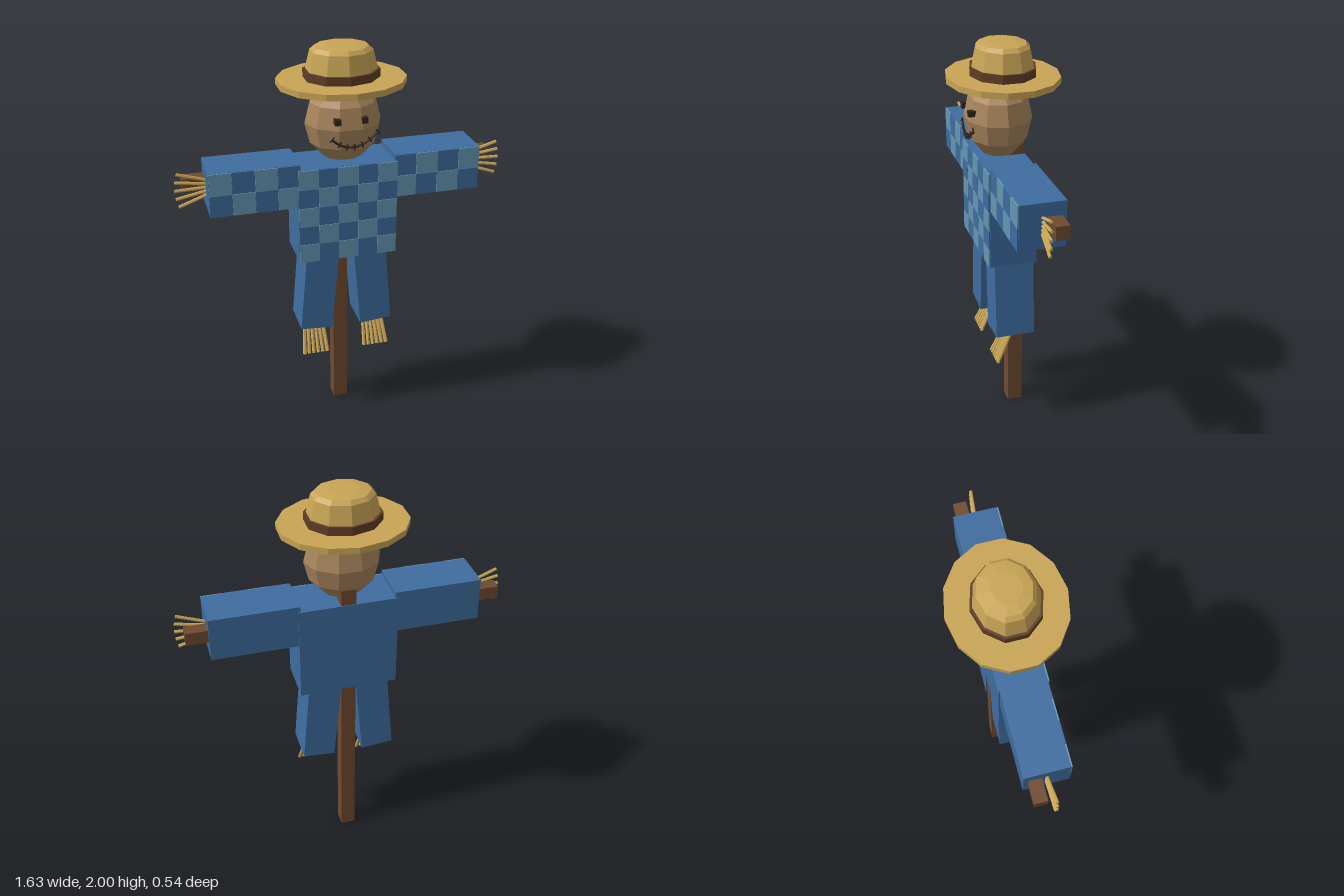
import * as THREE from 'three';

const mat = (color, flat = true) => new THREE.MeshStandardMaterial({ color, flatShading: flat });

export function createModel() {
  const model = new THREE.Group();
  const blue = mat(0x3e6c9f), lightBlue = mat(0x6496b2), wood = mat(0x6f4a30);
  const straw = mat(0xc8a455), sack = mat(0xa8855c), dark = mat(0x33251c), bandBrown = mat(0x5f3d25);

  function add(parent, name, geometry, material) {
    const mesh = new THREE.Mesh(geometry, material);
    mesh.name = name;
    parent.add(mesh);
    return mesh;
  }
  // Box given by its lower and upper corners
  function box(parent, name, material, a, b) {
    const mesh = add(parent, name, new THREE.BoxGeometry(b[0] - a[0], b[1] - a[1], b[2] - a[2]), material);
    mesh.position.set((a[0] + b[0]) / 2, (a[1] + b[1]) / 2, (a[2] + b[2]) / 2);
    return mesh;
  }
  // Thin rod between two points
  function rod(parent, name, material, a, b, radius) {
    const p = new THREE.Vector3(...a), q = new THREE.Vector3(...b);
    const mesh = add(parent, name, new THREE.CylinderGeometry(radius, radius, p.distanceTo(q), 6), material);
    mesh.position.copy(p).lerp(q, 0.5);
    mesh.quaternion.setFromUnitVectors(new THREE.Vector3(0, 1, 0), q.sub(p).normalize());
    return mesh;
  }
  // Checkered patches on the front of the shirt
  function checks(parent, x0, y0, w, h, cols, rows, z, odd) {
    const dx = w / cols, dy = h / rows, gap = 0.001;
    for (let i = 0; i < cols; i++) for (let j = 0; j < rows; j++) {
      const light = (i + j + odd) % 2 === 0;
      box(parent, 'shirtCheck', light ? lightBlue : blue,
        [x0 + i * dx + gap, y0 + j * dy + gap, z - 0.004],
        [x0 + (i + 1) * dx - gap, y0 + (j + 1) * dy - gap, z + 0.007]);
    }
  }

  // Wooden frame
  box(model, 'post', wood, [-0.037, 0, -0.098], [0.037, 1.53, -0.02]);
  box(model, 'crossbar', wood, [-0.775, 1.34, -0.073], [0.775, 1.405, -0.008]);

  // Shirt body
  const shirt = new THREE.Group();
  shirt.name = 'shirt';
  model.add(shirt);
  box(shirt, 'torso', blue, [-0.247, 0.957, -0.102], [0.245, 1.445, 0.132]);
  checks(shirt, -0.247, 0.957, 0.492, 0.488, 5, 5, 0.132, 0);

  for (const s of [-1, 1]) {
    const side = s > 0 ? 'left' : 'right';

    // Sleeve
    const inner = s * 0.233, outer = s * 0.668;
    const x0 = Math.min(inner, outer), x1 = Math.max(inner, outer);
    box(shirt, side + 'Sleeve', blue, [x0, 1.253, -0.095], [x1, 1.472, 0.122]);
    checks(shirt, x0, 1.253, x1 - x0, 0.219, 4, 2, 0.122, s > 0 ? 0 : 1);

    // Straw hand, fanned out from inside the sleeve
    const hand = new THREE.Group();
    hand.name = side + 'StrawHand';
    model.add(hand);
    for (let i = 0; i < 5; i++) {
      const a = (i - 2) * 0.16, r = 0.265;
      rod(hand, 'straw', straw, [s * (0.55 + 0.06 * Math.cos(a)), 1.363 + 0.06 * Math.sin(a), 0.01],
        [s * (0.55 + r * Math.cos(a)), 1.363 + r * Math.sin(a), 0.024], 0.008);
    }

    // Trouser leg, splayed outwards
    const leg = add(model, side + 'Leg', new THREE.BoxGeometry(0.165, 0.46, 0.198), blue);
    leg.position.set(s * 0.138, 0.771, 0.001);
    leg.rotation.z = s * 0.085;

    // Straw foot, slanting forwards
    const foot = new THREE.Group();
    foot.name = side + 'StrawFoot';
    model.add(foot);
    for (let i = 0; i < 6; i++) {
      const t = i / 5;
      rod(foot, 'straw', straw, [s * (0.112 + 0.09 * t), 0.57, 0.005], [s * (0.1 + 0.122 * t), 0.385, 0.09], 0.01);
    }
  }

  // Sack head
  const head = add(model, 'head', new THREE.SphereGeometry(1, 10, 6), sack);
  head.scale.set(0.187, 0.2, 0.162);
  head.position.set(0, 1.64, 0.024);

  // Face
  const face = new THREE.Group();
  face.name = 'face';
  model.add(face);
  for (const x of [-0.065, 0.065]) box(face, 'eye', dark, [x - 0.014, 1.671, 0.13], [x + 0.014, 1.699, 0.186]);
  const smile = new THREE.QuadraticBezierCurve3(
    new THREE.Vector3(-0.093, 1.603, 0.176), new THREE.Vector3(0.01, 1.506, 0.188), new THREE.Vector3(0.128, 1.623, 0.176));
  add(face, 'mouth', new THREE.TubeGeometry(smile, 10, 0.006, 5), dark);
  for (let i = 0; i < 7; i++) {
    const p = smile.getPoint(i / 6), n = smile.getTangent(i / 6);
    rod(face, 'stitch', dark, [p.x - n.y * 0.015, p.y + n.x * 0.015, p.z + 0.002],
      [p.x + n.y * 0.015, p.y - n.x * 0.015, p.z + 0.002], 0.004);
  }

  // Straw hat, narrower front to back
  const hat = new THREE.Group();
  hat.name = 'hat';
  hat.scale.z = 0.87;
  model.add(hat);
  const brim = add(hat, 'hatBrim', new THREE.CylinderGeometry(0.311, 0.311, 0.03, 14), straw);
  brim.position.y = 1.83;
  const band = add(hat, 'hatBand', new THREE.CylinderGeometry(0.184, 0.184, 0.042, 10), bandBrown);
  band.position.y = 1.865;
  const profile = [[0.176, 1.84], [0.172, 1.885], [0.15, 1.975], [0.13, 1.993], [0.077, 2], [0, 2]]
    .map(([r, y]) => new THREE.Vector2(r, y));
  add(hat, 'hatCrown', new THREE.LatheGeometry(profile, 10), straw);

  return model;
}
